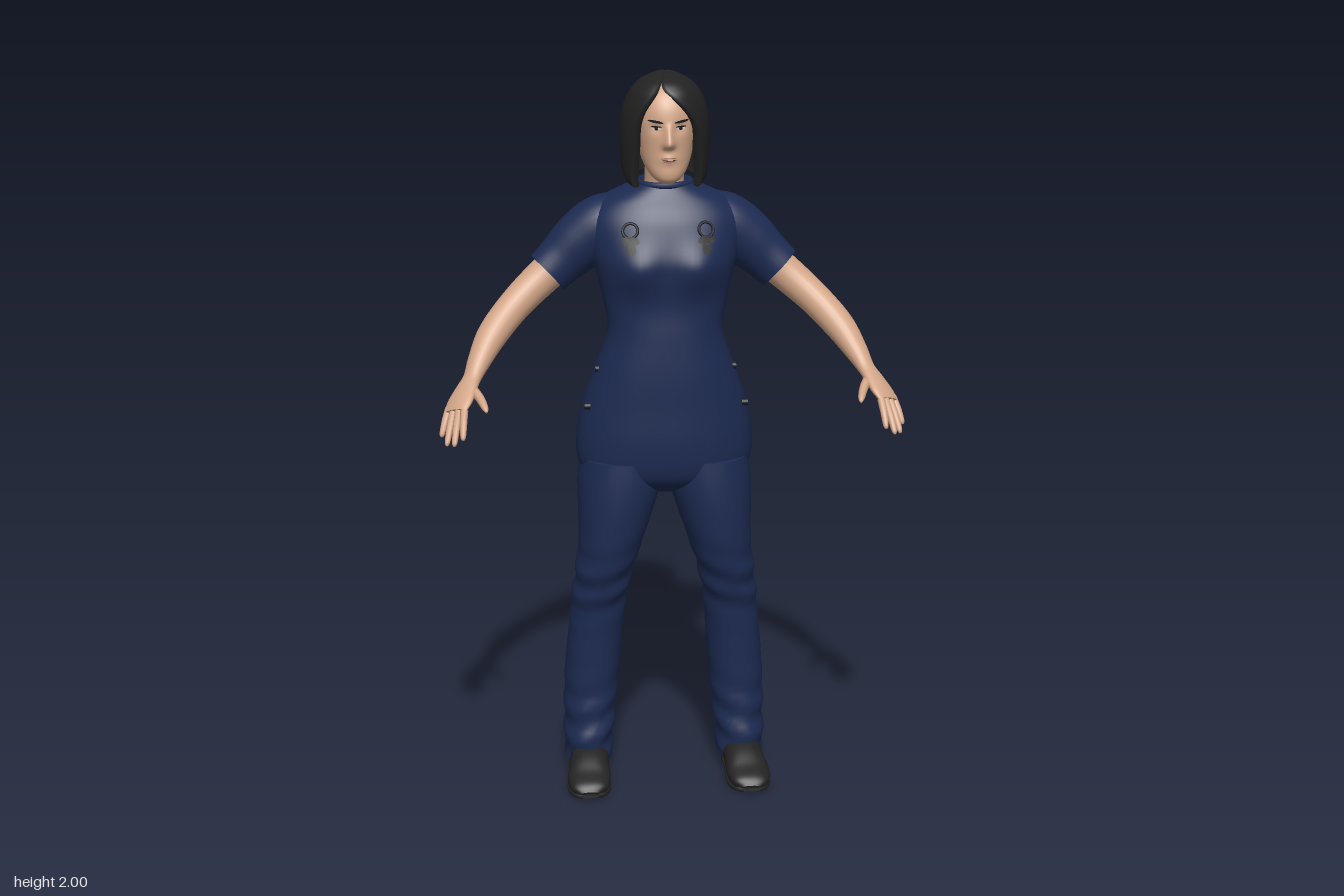
import * as THREE from 'three';

const mat = (name, color, opts = {}) => Object.assign(new THREE.MeshStandardMaterial({ color, ...opts }), { name });
const V = (x, y, z) => new THREE.Vector3(x, y, z);
const bell = (x, c, s) => Math.exp(-(((x - c) / s) ** 2));
const spow = (v, e) => Math.sign(v) * Math.abs(v) ** e;

// Catmull-Rom resampling of rows of numbers
function smooth(rows, k = 6) {
  const out = [], n = rows.length;
  for (let i = 0; i < n - 1; i++) {
    const [a, b, c, d] = [rows[Math.max(i - 1, 0)], rows[i], rows[i + 1], rows[Math.min(i + 2, n - 1)]];
    for (let j = 0; j < k; j++) {
      const t = j / k;
      out.push(b.map((_, m) => 0.5 * (2 * b[m] + (c[m] - a[m]) * t + (2 * a[m] - 5 * b[m] + 4 * c[m] - d[m]) * t * t
        + (3 * b[m] - a[m] - 3 * c[m] + d[m]) * t * t * t)));
    }
  }
  out.push(rows[n - 1]);
  return out;
}

// Skin closed rings of points into a surface, with flat end caps
function loft(rings, caps = true) {
  const pos = [], idx = [], m = rings[0].length;
  const push = (p) => pos.push(p.x, p.y, p.z);
  rings.forEach((r) => r.forEach(push));
  for (let i = 0; i < rings.length - 1; i++) for (let j = 0; j < m; j++) {
    const a = i * m + j, b = i * m + (j + 1) % m;
    idx.push(a, b, b + m, a, b + m, a + m);
  }
  if (caps) [rings[0], rings[rings.length - 1]].forEach((r, end) => {
    const s = pos.length / 3, c = V(0, 0, 0);
    r.forEach((p) => { push(p); c.addScaledVector(p, 1 / m); });
    push(c);
    for (let j = 0; j < m; j++) {
      const k = (j + 1) % m;
      if (end) idx.push(s + j, s + k, s + m); else idx.push(s + k, s + j, s + m);
    }
  });
  const g = new THREE.BufferGeometry();
  g.setAttribute('position', new THREE.Float32BufferAttribute(pos, 3));
  g.setIndex(idx);
  g.computeVertexNormals();
  return g;
}

// Upright body from rows [y, centre x, half width, back z, front z]
function upright(rows, seg, e, deform = (p) => p) {
  const dense = smooth(rows);
  const at = ([y, xc, w, zb, zf], sn, cs) => deform(V(xc + w * sn, y, (zb + zf) / 2 + (zf - zb) / 2 * cs));
  const geometry = loft(dense.map((r) => Array.from({ length: seg }, (_, j) => {
    const a = j / seg * Math.PI * 2;
    return at(r, spow(Math.sin(a), e), spow(Math.cos(a), e));
  })));
  const frontZ = (x, y) => {
    const i = Math.max(1, dense.findIndex((r) => r[0] >= y)), a = dense[i - 1], b = dense[i];
    const r = a.map((v, m) => v + (b[m] - v) * (y - a[0]) / (b[0] - a[0]));
    const s = Math.min(1, Math.abs(x / r[2]));
    return at(r, x / r[2], Math.sqrt(1 - s ** (2 / e)) ** e).z;
  };
  return { geometry, frontZ };
}

// Limb along rows [x, y, z, radius along ref, radius across]; side mirrors x
function limb(rows, ref, side = 1, seg = 20, e = 1) {
  const d = smooth(rows).map((r) => [r[0] * side, ...r.slice(1)]);
  const p = d.map((r) => V(r[0], r[1], r[2]));
  return loft(d.map((r, i) => {
    const t = p[Math.min(i + 1, p.length - 1)].clone().sub(p[Math.max(i - 1, 0)]).normalize();
    const u = V(ref[0] * side, ref[1], ref[2]);
    u.addScaledVector(t, -u.dot(t)).normalize();
    const v = t.clone().cross(u);
    return Array.from({ length: seg }, (_, j) => {
      const a = j / seg * Math.PI * 2;
      return p[i].clone().addScaledVector(u, r[3] * spow(Math.cos(a), e)).addScaledVector(v, r[4] * spow(Math.sin(a), e));
    });
  }));
}

export function createModel() {
  const root = new THREE.Group();
  root.name = 'woman';
  const skin = mat('skin', 0xd2a587), navy = mat('navy cloth', 0x1d2b52), black = mat('black', 0x222222);
  const lip = mat('lips', 0xae7664), white = mat('eye white', 0xd8d0c8), trim = mat('dark trim', 0x17191f);
  const add = (name, geo, m) => {
    const mesh = new THREE.Mesh(geo, m);
    mesh.name = name;
    root.add(mesh);
    return mesh;
  };
  // Thin elliptical plate laid on the front of a body
  const plate = (name, body, m, cx, cy, rx, ry, rot = 0, lift = 0.003) => {
    const g = new THREE.ShapeGeometry(new THREE.Shape().absellipse(cx, cy, rx, ry, 0, Math.PI * 2, false, rot), 10);
    const q = g.attributes.position;
    for (let i = 0; i < q.count; i++) q.setZ(i, body.frontZ(q.getX(i), q.getY(i)) + lift);
    g.computeVertexNormals();
    add(name, g, m);
  };

  // Torso with bust and seat shaping
  const torso = upright([
    [0.85, 0, 0.06, -0.13, -0.03], [0.88, 0, 0.17, -0.21, 0.02], [0.92, 0, 0.232, -0.238, 0.045], [1.0, 0, 0.24, -0.25, 0.055],
    [1.1, 0, 0.222, -0.238, 0.055], [1.2, 0, 0.188, -0.21, 0.055], [1.3, 0, 0.156, -0.18, 0.05], [1.38, 0, 0.165, -0.185, 0.045],
    [1.46, 0, 0.183, -0.205, 0.05], [1.52, 0, 0.198, -0.218, 0.05], [1.6, 0, 0.205, -0.22, 0.028], [1.65, 0, 0.175, -0.21, 0.003],
    [1.68, 0, 0.12, -0.195, -0.012], [1.702, 0, 0.072, -0.165, -0.025],
  ], 72, 0.88, (p) => {
    if (p.z > -0.06) p.z += 0.024 * bell(Math.abs(p.x), 0.085, 0.06) * bell(p.y, 1.485, 0.06);
    else p.z += 0.022 * bell(p.x, 0, 0.04) * (bell(p.y, 0.93, 0.09) + 0.6 * bell(p.y, 1.5, 0.14));
    return p;
  });
  add('torso', torso.geometry, navy);
  const collar = add('collar', new THREE.TorusGeometry(0.07, 0.009, 8, 40), navy);
  collar.rotation.x = Math.PI / 2;
  collar.position.set(0, 1.7, -0.095);

  // Neck and head
  add('neck', limb([[0, 1.64, -0.1, 0.06, 0.06], [0, 1.7, -0.09, 0.053, 0.053], [0, 1.79, -0.07, 0.052, 0.055]], [1, 0, 0]), skin);
  const head = upright([
    [1.717, 0, 0.018, -0.01, 0.03], [1.727, 0, 0.035, -0.045, 0.043], [1.745, 0, 0.051, -0.09, 0.048], [1.775, 0, 0.065, -0.13, 0.046],
    [1.81, 0, 0.074, -0.16, 0.046], [1.845, 0, 0.081, -0.17, 0.046], [1.88, 0, 0.084, -0.17, 0.045], [1.92, 0, 0.081, -0.165, 0.035],
    [1.955, 0, 0.062, -0.14, 0.01], [1.975, 0, 0.03, -0.1, -0.03],
  ], 128, 0.95, (p) => {
    if (p.z < -0.02) return p;
    const { x, y } = p, up = Math.min(1, Math.max(0, (1.878 - y) / 0.05));
    p.z += 0.029 * up * bell(x, 0, 0.008 + 0.006 * up) / (1 + Math.exp((1.814 - y) / 0.0025));
    p.z += 0.006 * bell(x, 0, 0.022) * bell(y, 1.783, 0.012) - 0.007 * bell(Math.abs(x), 0.032, 0.016) * bell(y, 1.864, 0.013);
    return p;
  });
  add('head', head.geometry, skin);
  plate('upperLip', head, lip, 0, 1.786, 0.021, 0.004);
  plate('lowerLip', head, lip, 0, 1.779, 0.016, 0.004);
  plate('mouthLine', head, trim, 0, 1.783, 0.019, 0.0012, 0, 0.004);

  // Bobbed hair, C-shaped sections open at the face: [y, half width, back z, front z, left opening, right opening, thickness]
  const hairRows = smooth([
    [1.692, 0.098, -0.175, 0.03, 1.0, 1.0, 0], [1.695, 0.102, -0.18, 0.032, 1.0, 1.0, 0.16], [1.72, 0.112, -0.188, 0.035, 0.95, 0.96, 0.2],
    [1.78, 0.117, -0.195, 0.04, 0.84, 0.87, 0.2], [1.85, 0.118, -0.196, 0.045, 0.7, 0.76, 0.2], [1.9, 0.112, -0.19, 0.046, 0.46, 0.62, 0.2],
    [1.94, 0.097, -0.172, 0.04, 0.12, 0.42, 0.2], [1.962, 0.081, -0.155, 0.028, -0.15, 0.32, 0.2], [1.98, 0.06, -0.132, 0.005, -0.27, 0.28, 0.2],
    [1.995, 0.028, -0.098, -0.038, -0.28, 0.28, 0.2], [2.0, 0.002, -0.07, -0.066, -0.28, 0.28, 0.2],
  ]);
  add('hair', loft(hairRows.map(([y, w, zb, zf, a1, a2, th]) => {
    const n = 48, ring = [], drop = 0.014 * Math.max(0, (1.8 - y) / 0.1);
    for (let j = 0; j < 2 * n; j++) {
      const i = j < n ? j : 2 * n - 1 - j, s = j < n ? 1 : 1 - th;
      const a = a1 + (Math.PI * 2 - a1 - a2) * i / (n - 1);
      ring.push(V(w * s * Math.sin(a), y + drop * (1 - Math.cos(a)), (zb + zf) / 2 + (zf - zb) / 2 * s * Math.cos(a)));
    }
    return ring;
  }), false), black);

  // Parts mirrored left and right
  const across = [0.6, -0.1, -0.75];
  const fingers = [[0.553, 1.1, 0.25], [0.576, 1.085, 0.252], [0.595, 1.08, 0.228], [0.608, 1.092, 0.188]];
  for (const s of [1, -1]) {
    const side = s > 0 ? 'left' : 'right';

    // Eyes and brows
    plate(side + 'EyeWhite', head, white, s * 0.032, 1.864, 0.0125, 0.0045);
    plate(side + 'Iris', head, trim, s * 0.032, 1.864, 0.005, 0.0045, 0, 0.004);
    plate(side + 'Eyelid', head, trim, s * 0.032, 1.869, 0.0145, 0.002, 0, 0.0045);
    plate(side + 'Brow', head, trim, s * 0.034, 1.882, 0.02, 0.0035, s * 0.14);

    // Sleeve, arm and hand
    add(side + 'Sleeve', limb([[0.09, 1.6, -0.11, 0.07, 0.08], [0.16, 1.58, -0.112, 0.084, 0.085], [0.22, 1.54, -0.11, 0.08, 0.075],
      [0.27, 1.495, -0.105, 0.069, 0.063], [0.312, 1.456, -0.097, 0.064, 0.057]], [0.6, 0.8, 0], s, 32), navy);
    add(side + 'Arm', limb([[0.25, 1.51, -0.105, 0.05, 0.05], [0.33, 1.443, -0.092, 0.048, 0.048], [0.405, 1.378, -0.053, 0.044, 0.044],
      [0.465, 1.315, 0, 0.042, 0.04], [0.502, 1.26, 0.054, 0.033, 0.03], [0.523, 1.223, 0.092, 0.027, 0.021],
      [0.54, 1.2, 0.12, 0.035, 0.018], [0.558, 1.174, 0.152, 0.042, 0.016], [0.57, 1.155, 0.176, 0.037, 0.011]], across, s, 24), skin);
    fingers.forEach(([x, y, z], i) => {
      const k = (i - 1.5) * 0.021, b = [0.567 + 0.62 * k, 1.16 - 0.1 * k, 0.17 - 0.77 * k];
      const mid = (t, r) => [b[0] + (x - b[0]) * t, b[1] + (y - b[1]) * t + 0.02 * t * (1 - t), b[2] + (z - b[2]) * t, r, r];
      add(side + 'Finger', limb([mid(0, 0.0105), mid(0.5, 0.0095), mid(0.9, 0.0075), mid(1, 0.003)], across, s, 10), skin);
    });
    add(side + 'Thumb', limb([[0.53, 1.205, 0.115, 0.014, 0.014], [0.507, 1.188, 0.16, 0.0125, 0.012],
      [0.494, 1.172, 0.2, 0.009, 0.009], [0.49, 1.164, 0.216, 0.003, 0.003]], [0, 1, 0], s, 12), skin);

    // Trouser leg with soft folds at knee and hem
    add(side + 'Leg', upright([
      [0.055, 0.216, 0.066, -0.195, -0.012], [0.1, 0.215, 0.067, -0.205, -0.01], [0.2, 0.21, 0.072, -0.208, -0.02], [0.32, 0.202, 0.076, -0.203, -0.02],
      [0.5, 0.186, 0.075, -0.187, -0.008], [0.6, 0.173, 0.077, -0.178, 0.02], [0.7, 0.152, 0.087, -0.193, 0.042],
      [0.8, 0.135, 0.104, -0.215, 0.05], [0.88, 0.124, 0.115, -0.235, 0.05], [0.95, 0.12, 0.108, -0.232, 0.045],
    ].map(([y, x, ...r]) => [y, x * s, ...r]), 48, 0.92, (p) => {
      const f = 0.004 * (bell(p.y, 0.58, 0.1) + bell(p.y, 0.16, 0.12)) * Math.sin(p.y * 75 + p.x * s * 22 + p.z * 14);
      p.x += f * Math.sign(p.x - 0.19 * s);
      p.z += f * Math.sign(p.z + 0.09);
      return p;
    }).geometry, navy);

    // Shoe upper, sole and heel
    add(side + 'Shoe', limb([[0.212, 0.05, -0.172, 0.02, 0.03], [0.213, 0.058, -0.155, 0.04, 0.045], [0.215, 0.06, -0.08, 0.05, 0.052],
      [0.219, 0.053, -0.01, 0.044, 0.055], [0.224, 0.036, 0.05, 0.03, 0.06], [0.226, 0.027, 0.095, 0.02, 0.05],
      [0.226, 0.02, 0.116, 0.007, 0.025]], [0, 1, 0], s, 28, 0.85), black);
    add(side + 'Sole', limb([[0.213, 0.023, -0.165, 0.008, 0.035], [0.214, 0.022, -0.09, 0.008, 0.05], [0.219, 0.017, -0.02, 0.009, 0.054],
      [0.224, 0.01, 0.05, 0.01, 0.061], [0.226, 0.012, 0.1, 0.009, 0.047], [0.226, 0.014, 0.118, 0.005, 0.024]], [0, 1, 0], s, 24, 0.6), black);
    const heel = add(side + 'Heel', new THREE.CylinderGeometry(0.048, 0.046, 0.028, 24), black);
    heel.position.set(s * 0.213, 0.014, -0.112);

    // Strap buckle on the chest: ring, clasp and tab
    const bx = s * 0.1, ring = add(side + 'BuckleRing', new THREE.TorusGeometry(0.02, 0.004, 8, 24), trim);
    ring.position.set(bx, 1.592, torso.frontZ(bx, 1.592) + 0.003);
    ring.rotation.set(-0.4, s * 0.25, 0);
    plate(side + 'BuckleClasp', torso, black, bx, 1.567, 0.024, 0.012, 0, 0.008);
    plate(side + 'BuckleTab', torso, black, bx, 1.55, 0.014, 0.02, 0, 0.008);

    // Hip buttons
    for (const [x, y, z] of [[0.183, 1.2, -0.045], [0.214, 1.1, -0.03]]) {
      const b = add(side + 'HipButton', new THREE.CylinderGeometry(0.009, 0.009, 0.016, 16), trim);
      b.rotation.z = Math.PI / 2;
      b.position.set(s * x, y, z);
    }
  }
  return root;
}
